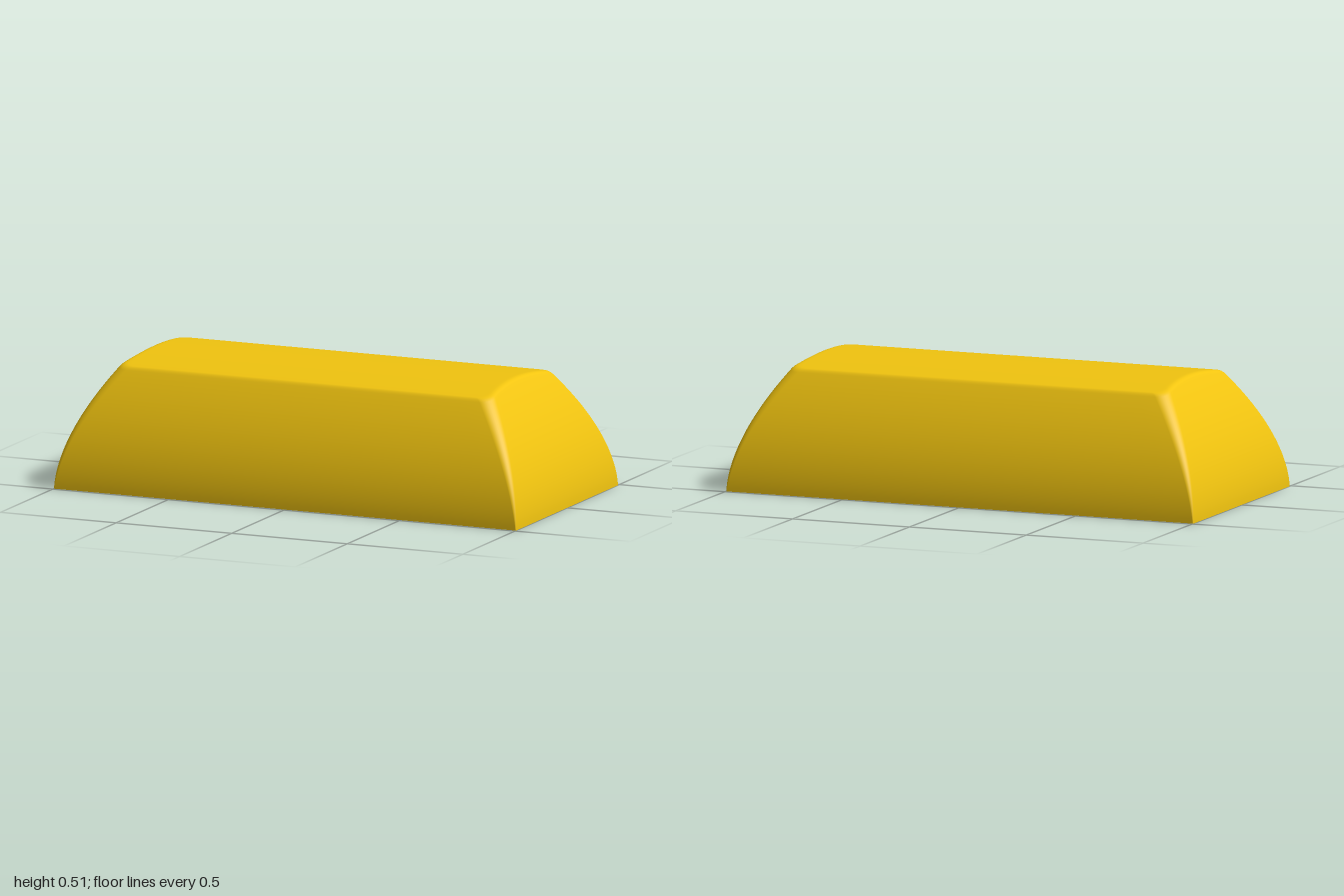
import * as THREE from 'three';

const material = new THREE.MeshStandardMaterial({ color: 0xf1c40f });

// Skin a stack of closed loops (all with the same point count)
function loft(rings) {
  const n = rings[0].length, index = [];
  for (let j = 0; j < rings.length - 1; j++) {
    for (let i = 0; i < n; i++) {
      const a = j * n + i, b = j * n + (i + 1) % n;
      index.push(a, a + n, b, b, a + n, b + n);
    }
  }
  const geometry = new THREE.BufferGeometry().setFromPoints(rings.flat());
  geometry.setIndex(index);
  return geometry;
}

// Unit description of a rounded rectangle: (u, v) on the inner box plus (c, s) times the radius
function perimeter() {
  const pts = [], corners = [[1, 1], [-1, 1], [-1, -1], [1, -1]];
  corners.forEach(([u, v], q) => {
    for (let k = 0; k <= 8; k++) {
      const angle = (q + k / 8) * Math.PI / 2;
      pts.push({ u, v, c: Math.cos(angle), s: Math.sin(angle) });
    }
    const [u2, v2] = corners[(q + 1) % 4];
    const last = pts[pts.length - 1];
    for (let k = 1; k < 20; k++) {
      const f = k / 20;
      pts.push({ u: u + (u2 - u) * f, v: v + (v2 - v) * f, c: last.c, s: last.s });
    }
  });
  return pts;
}

const topHeight = z => 0.508 - 0.31 * z * z;

// Point on the bulging side wall, t = 0 at the base and 1 at the crowned top
function wallPoint(p, t) {
  let x = 0, z = 0, y = 0.5 * t;
  const r = 0.003 + 0.05 * t;
  for (let i = 0; i < 5; i++) {
    const a = 1 - 0.21 * Math.pow(y / 0.5, 1.8);
    const b = 0.49 - 0.18 * Math.pow(y / 0.48, 1.8);
    x = p.u * (a - r) + p.c * r;
    z = p.v * (b - r) + p.s * r;
    y = t * topHeight(z);
  }
  return new THREE.Vector3(x, y, z);
}

function topPoint(p, scale) {
  const e = wallPoint(p, 1);
  const x = e.x * scale, z = e.z * scale;
  return new THREE.Vector3(x, topHeight(z), z);
}

function createShell() {
  const loop = perimeter(), rings = [];
  // side walls
  for (let j = 0; j <= 24; j++) rings.push(loop.map(p => wallPoint(p, 0.975 * j / 24)));
  // small rounded edge between walls and top
  for (let k = 1; k <= 4; k++) {
    rings.push(loop.map(p => new THREE.QuadraticBezierCurve3(
      wallPoint(p, 0.975), wallPoint(p, 1), topPoint(p, 0.975)).getPoint(k / 4)));
  }
  // crowned top
  for (const s of [0.96, 0.9, 0.8, 0.65, 0.5, 0.35, 0.2, 0.1, 0]) {
    rings.push(loop.map(p => topPoint(p, s)));
  }
  const geometry = loft(rings);
  geometry.computeVertexNormals();
  return geometry;
}

function createCavity() {
  const rect = (a, b, y) => [[1, 1], [-1, 1], [-1, -1], [1, -1]]
    .map(([u, v]) => new THREE.Vector3(u * a, y, v * b));
  // ceiling, sloping inner walls, flat bottom rim
  const geometry = loft([
    rect(0.5, 0, 0.41), rect(0.793, 0.278, 0.41), rect(0.913, 0.403, 0), rect(1, 0.49, 0),
  ]).toNonIndexed();
  geometry.computeVertexNormals();
  return geometry;
}

export function createModel() {
  const group = new THREE.Group();
  group.name = 'keycap';
  const parts = { outerShell: createShell(), innerCavity: createCavity() };
  for (const [name, geometry] of Object.entries(parts)) {
    const mesh = new THREE.Mesh(geometry, material);
    mesh.name = name;
    group.add(mesh);
  }
  return group;
}
